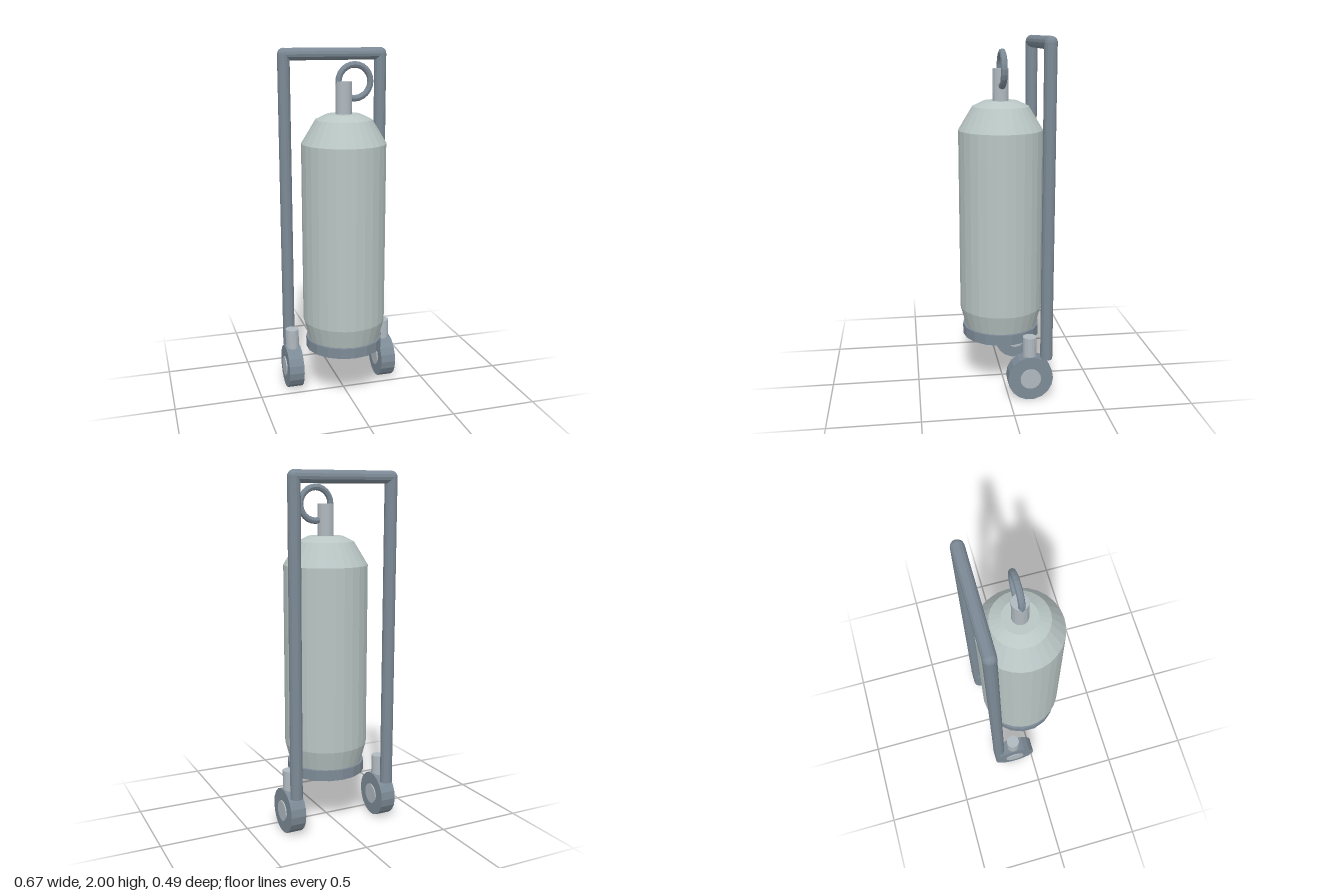
import * as THREE from 'three';

const mat = (color) => new THREE.MeshStandardMaterial({ color, flatShading: true });

export function createModel() {
  const group = new THREE.Group();
  const shell = mat(0xb9c6c4), steel = mat(0x7c8a96), pale = mat(0xb0b9c0);

  const add = (name, geometry, material, x, y, z, parent = group) => {
    const mesh = new THREE.Mesh(geometry, material);
    mesh.name = name;
    mesh.position.set(x, y, z);
    parent.add(mesh);
    return mesh;
  };

  const tankZ = 0.008;

  // Tank body: tapered foot, straight wall, bevelled shoulder
  const profile = [[0, 0.35], [0.208, 0.35], [0.237, 0.46], [0.237, 1.49],
    [0.158, 1.62], [0.095, 1.65], [0, 1.65]].map(([r, y]) => new THREE.Vector2(r, y));
  add('tank', new THREE.LatheGeometry(profile, 28), shell, 0, 0, tankZ);
  add('tankBase', new THREE.CylinderGeometry(0.223, 0.223, 0.06, 18), steel, 0, 0.32, tankZ);

  // Valve neck and pull ring
  add('valveNeck', new THREE.CylinderGeometry(0.045, 0.045, 0.18, 18), pale, 0, 1.735, tankZ);
  add('pullRing', new THREE.TorusGeometry(0.091, 0.018, 8, 24), steel, 0.061, 1.824, tankZ);

  // Handle frame
  const tube = 0.035, postX = 0.285, postZ = -0.213, topY = 1.965, footY = 0.23;
  const bar = add('handleBar', new THREE.CylinderGeometry(tube, tube, postX * 2, 14), steel, 0, topY, postZ);
  bar.rotation.z = Math.PI / 2;

  for (const [side, s] of [['left', 1], ['right', -1]]) {
    add(side + 'Post', new THREE.CylinderGeometry(tube, tube, topY - footY, 14), steel,
      s * postX, (topY + footY) / 2, postZ);
    add(side + 'Corner', new THREE.SphereGeometry(tube, 14, 10), steel, s * postX, topY, postZ);

    // Caster: wheel, hub and stem
    const caster = new THREE.Group();
    caster.name = side + 'Caster';
    caster.position.set(s * postX, 0.13, -0.118);
    group.add(caster);
    const wheel = add('wheel', new THREE.CylinderGeometry(0.127, 0.127, 0.088, 18), steel, 0, 0, 0, caster);
    const hub = add('hub', new THREE.CylinderGeometry(0.058, 0.058, 0.102, 18), pale, 0, 0, 0, caster);
    wheel.rotation.z = hub.rotation.z = Math.PI / 2;
    add('stem', new THREE.CylinderGeometry(0.039, 0.039, 0.135, 18), pale, 0, 0.1675, 0, caster);
  }

  return group;
}
